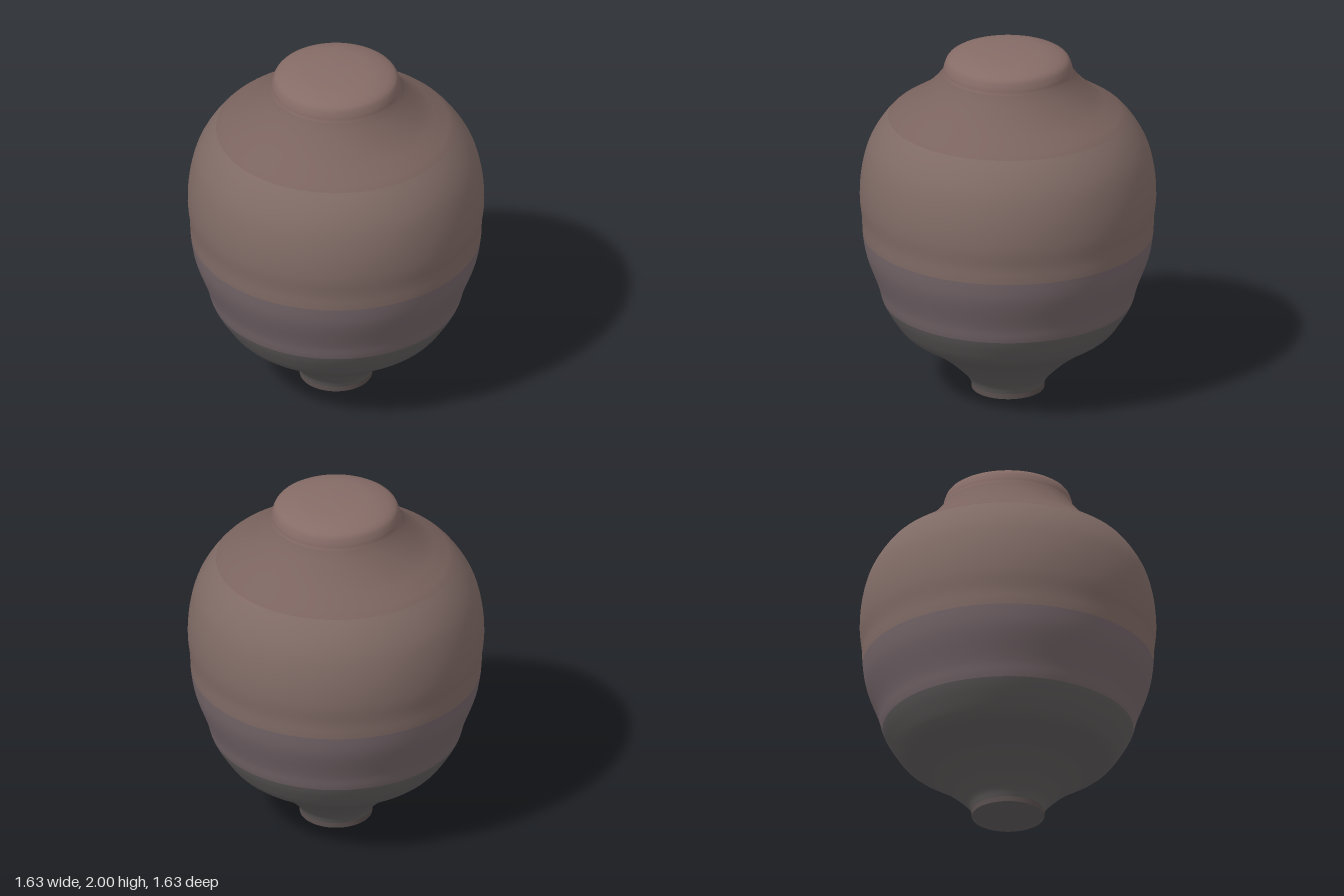
import * as THREE from 'three';

// Outline of the jar from foot to crown: [radius, height]
const OUTLINE = [
  [0.2, 0.03], [0.22, 0.07], [0.28, 0.135], [0.37, 0.215], [0.475, 0.29], [0.58, 0.36],
  [0.64, 0.44], [0.69, 0.53], [0.715, 0.62], [0.78, 0.8], [0.8, 0.92], [0.804, 1.01],
  [0.816, 1.13], [0.805, 1.29], [0.76, 1.45], [0.66, 1.6], [0.59, 1.65], [0.5, 1.71],
  [0.415, 1.79], [0.36, 1.865], [0.352, 1.9], [0.33, 1.945], [0.24, 1.98], [0.12, 1.995], [0, 2],
];

function band(name, points, color) {
  const mesh = new THREE.Mesh(
    new THREE.LatheGeometry(points, 96),
    new THREE.MeshStandardMaterial({ color }),
  );
  mesh.name = name;
  return mesh;
}

export function createModel() {
  const jar = new THREE.Group();
  jar.name = 'jar';

  // Smooth outline, four samples per span so bands can meet at any outline point
  const STEPS = 4;
  const spline = new THREE.CatmullRomCurve3(
    OUTLINE.map(([r, y]) => new THREE.Vector3(r, y, 0)), false, 'centripetal');
  const samples = spline.getPoints((OUTLINE.length - 1) * STEPS)
    .map((p) => new THREE.Vector2(Math.max(0, p.x), Math.min(2, p.y)));
  const slice = (from, to) => samples.slice(from * STEPS, to * STEPS + 1);

  // Flat underside and short upright foot
  jar.add(band('underside', [new THREE.Vector2(0, 0), new THREE.Vector2(0.2, 0)], 0x615c5d));
  jar.add(band('foot', [new THREE.Vector2(0.2, 0), new THREE.Vector2(0.2, 0.03)], 0x594f4e));

  // Bands of fired clay, from the grey flare to the closed crown
  jar.add(band('lowerFlare', slice(0, 7), 0x625d5e));
  jar.add(band('lowerBody', slice(7, 10), 0x75666a));
  jar.add(band('body', slice(10, 15), 0x806b66));
  jar.add(band('shoulder', slice(15, 19), 0x7b645f));
  jar.add(band('crown', slice(19, OUTLINE.length - 1), 0x866c67));
  return jar;
}
